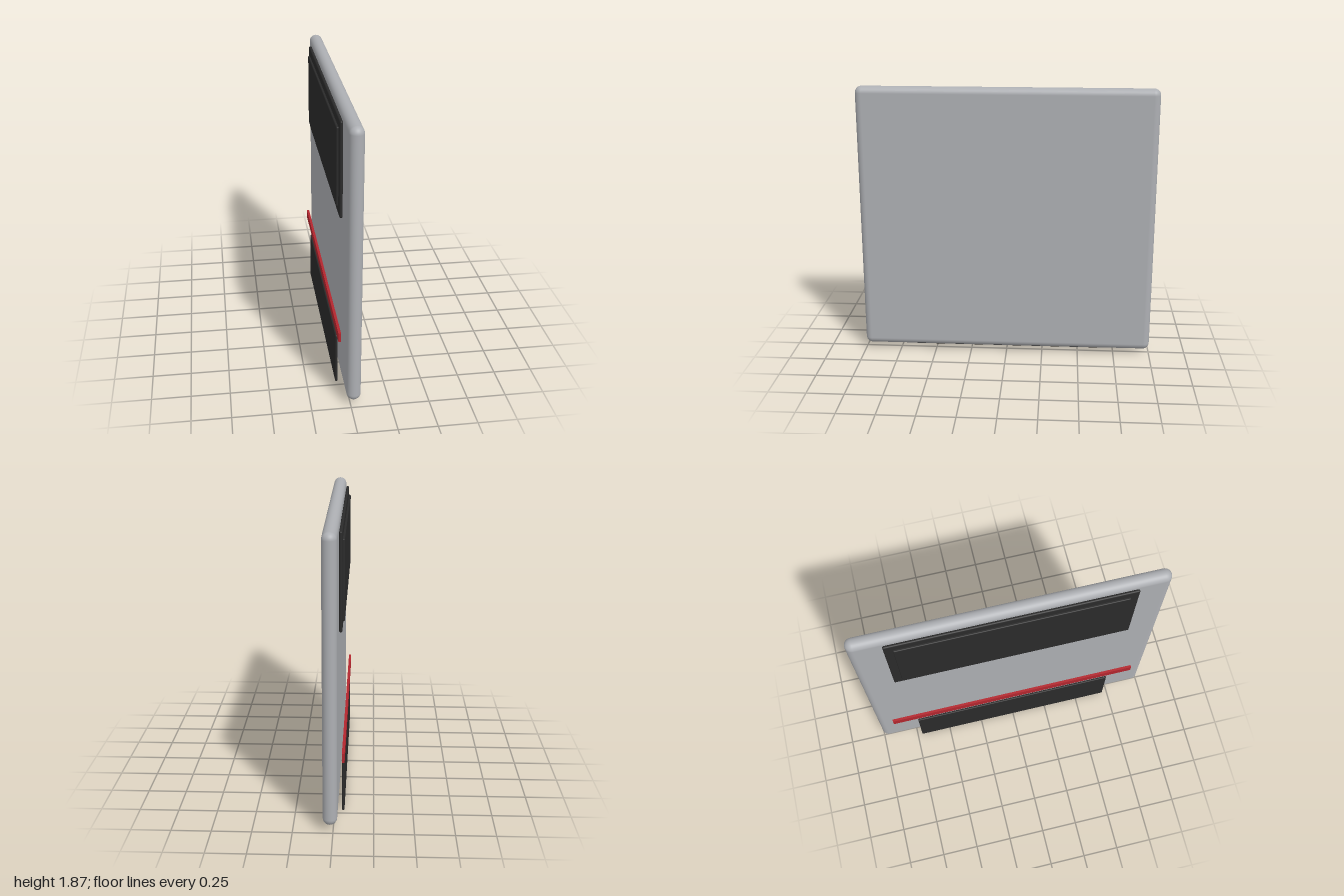
import * as THREE from 'three';
import { RoundedBoxGeometry } from 'three/addons/geometries/RoundedBoxGeometry.js';

function material(name, color) {
  const m = new THREE.MeshStandardMaterial({ color });
  m.name = name;
  return m;
}

export function createModel() {
  const group = new THREE.Group();
  group.name = 'panel';

  const grey = material('metalGrey', 0xadafb3);
  const black = material('softBlack', 0x2b2b2b);
  const red = material('stripRed', 0xb3262e);

  // Block from its x and y limits and half depth in z, with optional rounded edges
  function block(name, mat, x0, x1, y0, y1, halfZ, radius = 0, segments = 2) {
    const size = [x1 - x0, y1 - y0, halfZ * 2];
    const geometry = radius
      ? new RoundedBoxGeometry(...size, segments, radius)
      : new THREE.BoxGeometry(...size);
    const mesh = new THREE.Mesh(geometry, mat);
    mesh.name = name;
    mesh.position.set((x0 + x1) / 2, (y0 + y1) / 2, 0);
    group.add(mesh);
  }

  // Main slab with fully rounded rim
  block('slab', grey, -0.025, 0.065, 0.04, 1.87, 1, 0.0449, 4);

  // Upper window: frame plate with a raised pane
  block('windowFrame', black, -0.05, -0.03, 1.225, 1.835, 0.785, 0.009);
  block('windowPane', black, -0.063, -0.045, 1.28, 1.78, 0.73, 0.006);

  // Thin strip across the outer side
  block('strip', red, -0.068, -0.051, 0.425, 0.485, 0.89);

  // Lower flap reaching the ground
  block('lowerFlap', black, -0.063, -0.047, 0, 0.355, 0.715, 0.006);

  return group;
}
